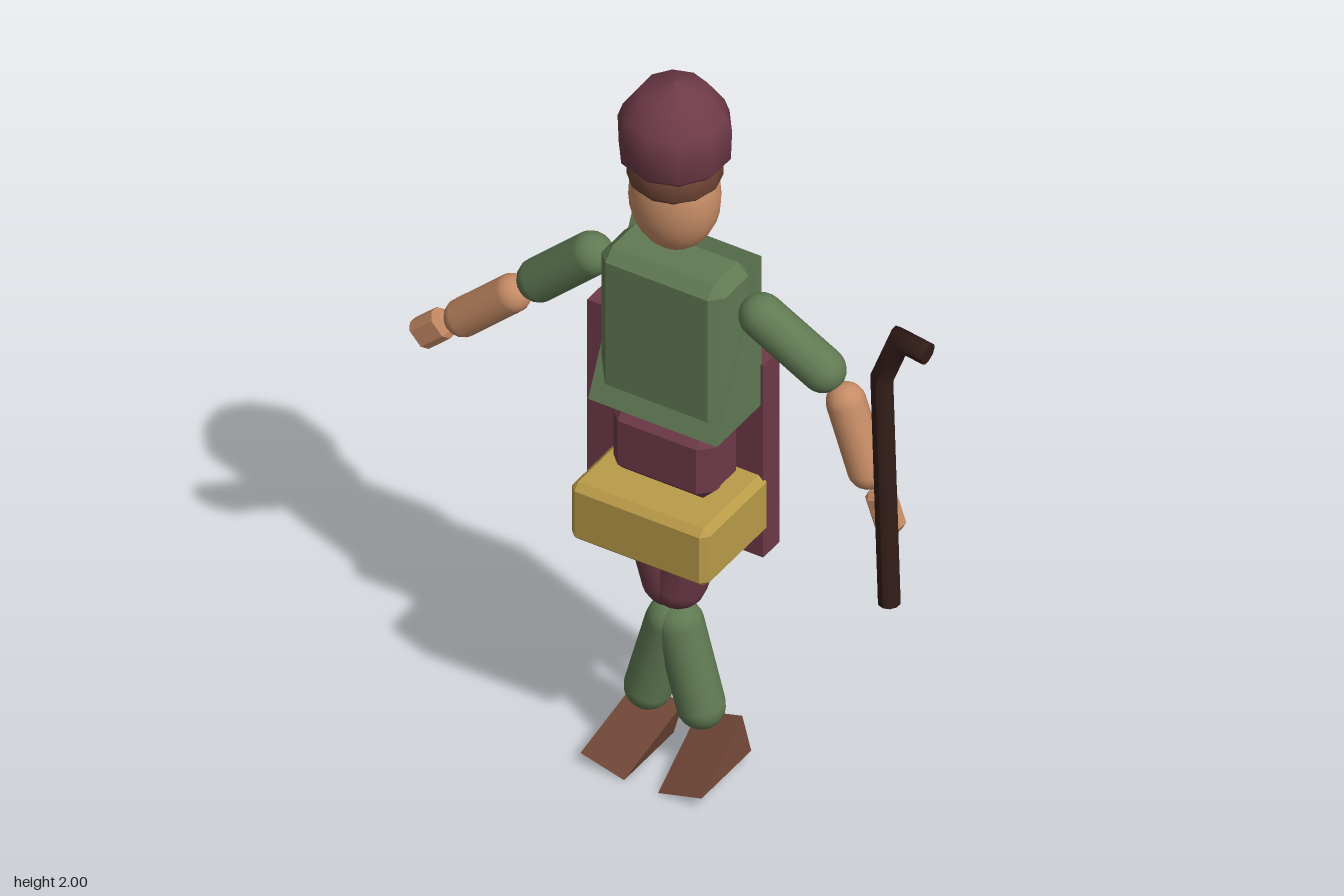
import * as THREE from 'three';
import { ConvexGeometry } from 'three/addons/geometries/ConvexGeometry.js';

const mat = (color, flatShading = false) => new THREE.MeshStandardMaterial({ color, flatShading });
const MAROON = mat(0x6e3a48), GREEN = mat(0x607a53), SKIN = mat(0xc68c66);
const GOLD = mat(0xb99b48), BROWN = mat(0x6e4535), DARK = mat(0x341e1a);
const CX = -0.03; // the body's own centre line

// Box with chamfered edges, hull of three points per corner
function chamferBox(w, h, d, c) {
  const pts = [];
  for (const sx of [-1, 1]) for (const sy of [-1, 1]) for (const sz of [-1, 1]) {
    const x = w / 2, y = h / 2, z = d / 2;
    pts.push(
      new THREE.Vector3(sx * x, sy * (y - c), sz * (z - c)),
      new THREE.Vector3(sx * (x - c), sy * y, sz * (z - c)),
      new THREE.Vector3(sx * (x - c), sy * (y - c), sz * z));
  }
  return new ConvexGeometry(pts);
}

// Wedge: upright back face, sloping down to the bottom front edge
function wedge(w, h, d) {
  const s = new THREE.Shape([
    new THREE.Vector2(-d / 2, -h / 2), new THREE.Vector2(d / 2, -h / 2), new THREE.Vector2(-d / 2, h / 2)]);
  return new THREE.ExtrudeGeometry(s, { depth: w, bevelEnabled: false })
    .rotateY(-Math.PI / 2).translate(w / 2, 0, 0);
}

// Round bar along a bent path in the xy plane, mitred at each bend
function bentBar(path, r) {
  const last = path.length - 1;
  const geo = new THREE.CylinderGeometry(r, r, last, 10, last);
  const rings = path.map((p, i) => {
    const a = p.clone().sub(path[Math.max(i - 1, 0)]).normalize();
    const b = path[Math.min(i + 1, last)].clone().sub(p).normalize();
    const t = a.clone().add(b).normalize();
    const stretch = 1 / t.dot(i === 0 ? b : a);
    return new THREE.Vector2(t.y, -t.x).multiplyScalar(stretch);
  });
  const pos = geo.attributes.position;
  for (let i = 0; i < pos.count; i++) {
    const k = Math.round(pos.getY(i) + last / 2);
    const x = pos.getX(i);
    pos.setXY(i, path[k].x + rings[k].x * x, path[k].y + rings[k].y * x);
  }
  geo.computeVertexNormals();
  return geo;
}

export function createModel() {
  const model = new THREE.Group();
  model.name = 'figure';
  const add = (name, geo, material, x = 0, y = 0, z = 0, tilt = 0) => {
    const m = new THREE.Mesh(geo, material);
    m.name = name;
    m.position.set(x, y, z);
    m.rotation.z = tilt;
    model.add(m);
    return m;
  };
  // Capsule between two end centres
  const limb = (name, material, r, x1, y1, x2, y2) => {
    const len = Math.hypot(x2 - x1, y2 - y1);
    add(name, new THREE.CapsuleGeometry(r, len, 6, 16), material,
      (x1 + x2) / 2, (y1 + y2) / 2, 0, Math.atan2(x1 - x2, y2 - y1));
  };

  // Head and hat
  add('head', new THREE.SphereGeometry(1, 20, 14).scale(0.115, 0.15, 0.102), SKIN, CX, 1.67);
  const band = [[0, 1.71], [0.1, 1.71], [0.115, 1.728], [0.115, 1.775], [0.1, 1.79], [0, 1.79]];
  const crown = [[0, 1.765], [0.113, 1.772], [0.137, 1.796], [0.14, 1.875], [0.127, 1.912], [0.084, 1.973], [0, 2]];
  const lathe = (pts, n) => new THREE.LatheGeometry(pts.map(p => new THREE.Vector2(...p)), n);
  add('hatBand', lathe(band, 12), BROWN, CX);
  add('hatCrown', lathe(crown, 10), MAROON, CX);

  // Body
  add('chest', chamferBox(0.345, 0.42, 0.165, 0.03), GREEN, CX, 1.278);
  add('jacket', wedge(0.36, 0.44, 0.2), GREEN, CX, 1.27);
  add('hips', chamferBox(0.28, 0.19, 0.16, 0.03), MAROON, CX, 0.935);
  add('beltBox', chamferBox(0.385, 0.17, 0.29, 0.018), GOLD, CX, 0.755, 0.025);
  add('cape', new THREE.BoxGeometry(0.492, 0.57, 0.072), MAROON, -0.089, 0.885, -0.132);

  // Legs, mirrored about the body's centre line
  for (const [side, s] of [['left', 1], ['right', -1]]) {
    limb(side + 'Thigh', MAROON, 0.071, CX + s * 0.085, 0.78, CX + s * 0.011, 0.526);
    limb(side + 'Shin', GREEN, 0.06, CX + s * 0.013, 0.4, CX + s * 0.073, 0.18);
    add(side + 'Shoe', wedge(0.126, 0.097, 0.222), BROWN, CX + s * 0.096, 0.066, 0.04, s * 0.26);
  }

  // Arms, each with its own pose
  const arms = [
    ['left', [0.213, 1.403, 0.385, 1.311], [0.449, 1.242, 0.509, 1.065], [0.556, 0.96], 0.33],
    ['right', [-0.265, 1.395, -0.408, 1.262], [-0.486, 1.189, -0.62, 1.065], [-0.711, 0.992], -0.83]];
  for (const [side, upper, fore, hand, tilt] of arms) {
    limb(side + 'UpperArm', GREEN, 0.056, ...upper);
    limb(side + 'Forearm', SKIN, 0.049, ...fore);
    add(side + 'Hand', chamferBox(0.078, 0.115, 0.058, 0.017), SKIN, hand[0], hand[1], -0.006, tilt);
  }

  // Walking stick with a bent handle
  const path = [[0.648, 0.805], [0.627, 1.463], [0.678, 1.597], [0.757, 1.585]].map(p => new THREE.Vector2(...p));
  add('walkingStick', bentBar(path, 0.028), DARK, 0, 0, 0.125);

  return model;
}
